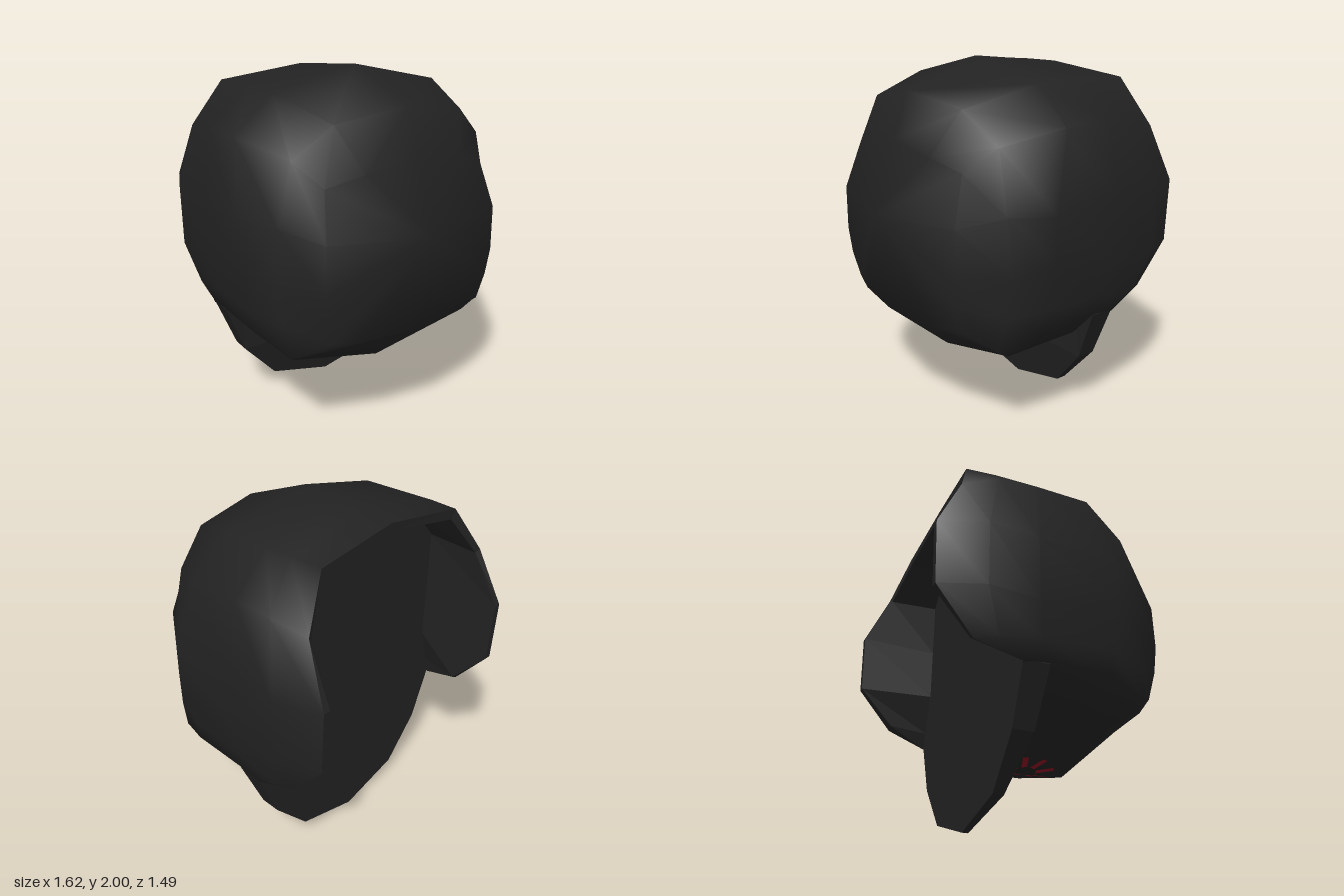
import * as THREE from 'three';

const shellMat = new THREE.MeshStandardMaterial({ name: 'charcoal', color: 0x222222 });
const redMat = new THREE.MeshStandardMaterial({ name: 'darkRed', color: 0x8c1220 });

// Mirrors a half outline (top centre to bottom centre, +x side) into a full loop
const mirrorLoop = half => [
  ...half,
  ...half.slice(1, -1).reverse().map(([x, y, z]) => [-x, y, z]),
];

// Skins a list of half outlines, optionally closing the last loop at a tip point
function loft(halves, tip) {
  const loops = halves.map(mirrorLoop);
  const n = loops[0].length;
  const pos = loops.flat(2);
  const index = [];
  for (let i = 0; i < loops.length - 1; i++) {
    for (let j = 0; j < n; j++) {
      const k = (j + 1) % n;
      const a = i * n + j, b = i * n + k, c = a + n, d = b + n;
      index.push(a, c, b, b, c, d);
    }
  }
  if (tip) {
    const base = (loops.length - 1) * n;
    pos.push(...tip);
    for (let j = 0; j < n; j++) index.push(base + j, loops.length * n, base + (j + 1) % n);
  }
  const geo = new THREE.BufferGeometry();
  geo.setAttribute('position', new THREE.Float32BufferAttribute(pos, 3));
  geo.setIndex(index);
  return geo;
}

function addMesh(parent, name, geo, mat) {
  const mesh = new THREE.Mesh(geo, mat);
  mesh.name = name;
  parent.add(mesh);
  return mesh;
}

export function createModel() {
  const group = new THREE.Group();
  group.name = 'hoodedHelmet';

  // Outer shell: half outlines from the rear rim to the front
  const rim = [[0, 1.95, -0.5], [0.5, 1.89, -0.52], [0.66, 1.64, -0.6], [0.71, 1.33, -0.74], [0.71, 0.98, -0.73],
    [0.7, 0.74, -0.53], [0.73, 0.66, -0.29], [0.56, 0.5, -0.2], [0, 0.36, -0.17]];
  const cheek = [[0, 1.97, -0.3], [0.52, 1.89, -0.35], [0.72, 1.69, -0.42], [0.805, 1.33, -0.5], [0.805, 0.98, -0.5],
    [0.75, 0.75, -0.42], [0.735, 0.67, -0.27], [0.56, 0.5, -0.16], [0, 0.36, -0.12]];
  const waist = [[0, 1.98, -0.15], [0.52, 1.89, -0.18], [0.735, 1.7, -0.2], [0.785, 1.33, -0.22], [0.785, 0.98, -0.22],
    [0.75, 0.78, -0.2], [0.735, 0.68, -0.18], [0.56, 0.5, -0.08], [0, 0.36, -0.05]];
  const middle = [[0, 2, 0.08], [0.52, 1.89, 0.1], [0.735, 1.7, 0.1], [0.81, 1.3, 0.21], [0.81, 1.06, 0.21],
    [0.755, 0.8, 0.2], [0.735, 0.68, 0.2], [0.56, 0.5, 0.15], [0, 0.36, 0.15]];
  const brow = [[0, 1.84, 0.52], [0.4, 1.78, 0.47], [0.6, 1.62, 0.4], [0.68, 1.3, 0.41], [0.7, 1, 0.39],
    [0.68, 0.78, 0.42], [0.65, 0.6, 0.44], [0.56, 0.5, 0.3], [0, 0.36, 0.3]];
  const front = [[0, 1.6, 0.61], [0.3, 1.55, 0.59], [0.5, 1.5, 0.54], [0.545, 1.25, 0.62], [0.55, 1, 0.62],
    [0.53, 0.85, 0.61], [0.5, 0.7, 0.58], [0.35, 0.68, 0.62], [0, 0.69, 0.68]];
  const shell = loft([rim, cheek, waist, middle, brow, front], [0, 1.22, 0.745]);
  shell.computeVertexNormals();
  addMesh(group, 'outerShell', shell, shellMat);

  // Rear opening: thin rim edge and the walls running in to the back plate
  const lower = rim.slice(6);
  const innerRim = [[0, 1.91, -0.5], [0.47, 1.84, -0.52], [0.635, 1.62, -0.59], [0.67, 1.33, -0.74],
    [0.67, 0.98, -0.73], [0.66, 0.76, -0.53], ...lower];
  const wallBase = [[0, 1.9, -0.285], [0.47, 1.82, -0.285], [0.64, 1.64, -0.285], [0.64, 1.3, -0.285],
    [0.64, 0.99, -0.285], [0.71, 0.76, -0.285], ...lower];
  const walls = loft([wallBase, innerRim, rim]).toNonIndexed();
  walls.computeVertexNormals();
  addMesh(group, 'openingWalls', walls, shellMat);

  // Flat back plate, its lower half hanging below the shell and thinning downwards
  const half = [[0, 0], [0.39, 0.11], [0.61, 0.365], [0.73, 0.67], [0.64, 0.99], [0.64, 1.64], [0.47, 1.82], [0, 1.9]];
  const outline = [...half, ...half.slice(1, -1).reverse().map(([x, y]) => [-x, y])];
  const shape = new THREE.Shape(outline.map(([x, y]) => new THREE.Vector2(x, y)));
  const plate = new THREE.ExtrudeGeometry(shape, { depth: 1, bevelEnabled: false });
  const p = plate.attributes.position;
  for (let i = 0; i < p.count; i++) {
    p.setZ(i, p.getZ(i) < 0.5 ? -0.29 : -0.255 + 0.22 * Math.min(p.getY(i), 0.5));
  }
  plate.computeVertexNormals();
  addMesh(group, 'backPlate', plate, shellMat);

  // Ring of painted strokes following the folded underside
  const marks = new THREE.Group();
  marks.name = 'undersideMarks';
  group.add(marks);
  for (let i = 0; i < 9; i++) {
    const stroke = new THREE.PlaneGeometry(0.1, 0.032, 5, 1);
    stroke.translate(0.12, 0, 0).rotateX(Math.PI / 2).rotateY((i / 9) * Math.PI * 2).translate(0, 0, 0.06);
    const s = stroke.attributes.position;
    for (let k = 0; k < s.count; k++) s.setY(k, 0.353 + 0.25 * Math.abs(s.getX(k)));
    stroke.computeVertexNormals();
    addMesh(marks, 'stroke', stroke, redMat);
  }
  return group;
}
